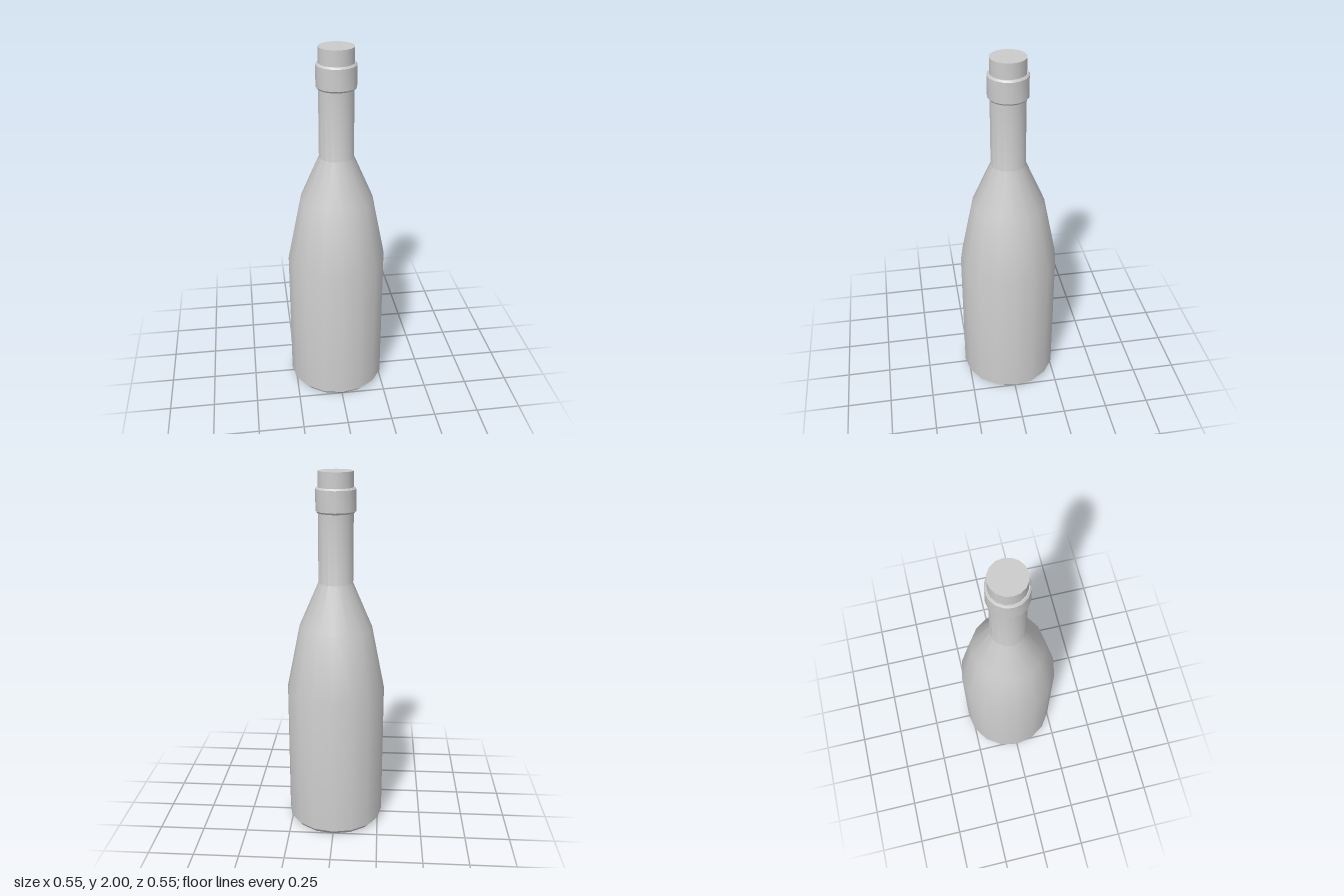
import * as THREE from 'three';
import { toCreasedNormals } from 'three/addons/utils/BufferGeometryUtils.js';

const SIDES = 16;
const material = new THREE.MeshStandardMaterial({ color: 0xcccccc });

// Revolve a [radius, height] profile, listed from bottom to top
function turned(name, profile) {
  const points = profile.map(([r, y]) => new THREE.Vector2(r, y));
  const geometry = toCreasedNormals(new THREE.LatheGeometry(points, SIDES), Math.PI / 6);
  const mesh = new THREE.Mesh(geometry, material);
  mesh.name = name;
  return mesh;
}

export function createModel() {
  const bottle = new THREE.Group();
  bottle.name = 'bottle';

  // Base with chamfered foot, straight body, two-step shoulder and neck
  bottle.add(turned('body', [
    [0, 0], [0.252, 0], [0.273, 0.025], [0.273, 0.81],
    [0.2, 1.17], [0.094, 1.415], [0.094, 1.8],
  ]));

  // Chamfered ring around the mouth
  bottle.add(turned('collar', [
    [0.094, 1.788], [0.1, 1.788], [0.107, 1.797],
    [0.107, 1.909], [0.1, 1.918], [0.094, 1.918],
  ]));

  // Flat-topped stopper
  bottle.add(turned('stopper', [[0.094, 1.8], [0.094, 2], [0, 2]]));

  return bottle;
}
